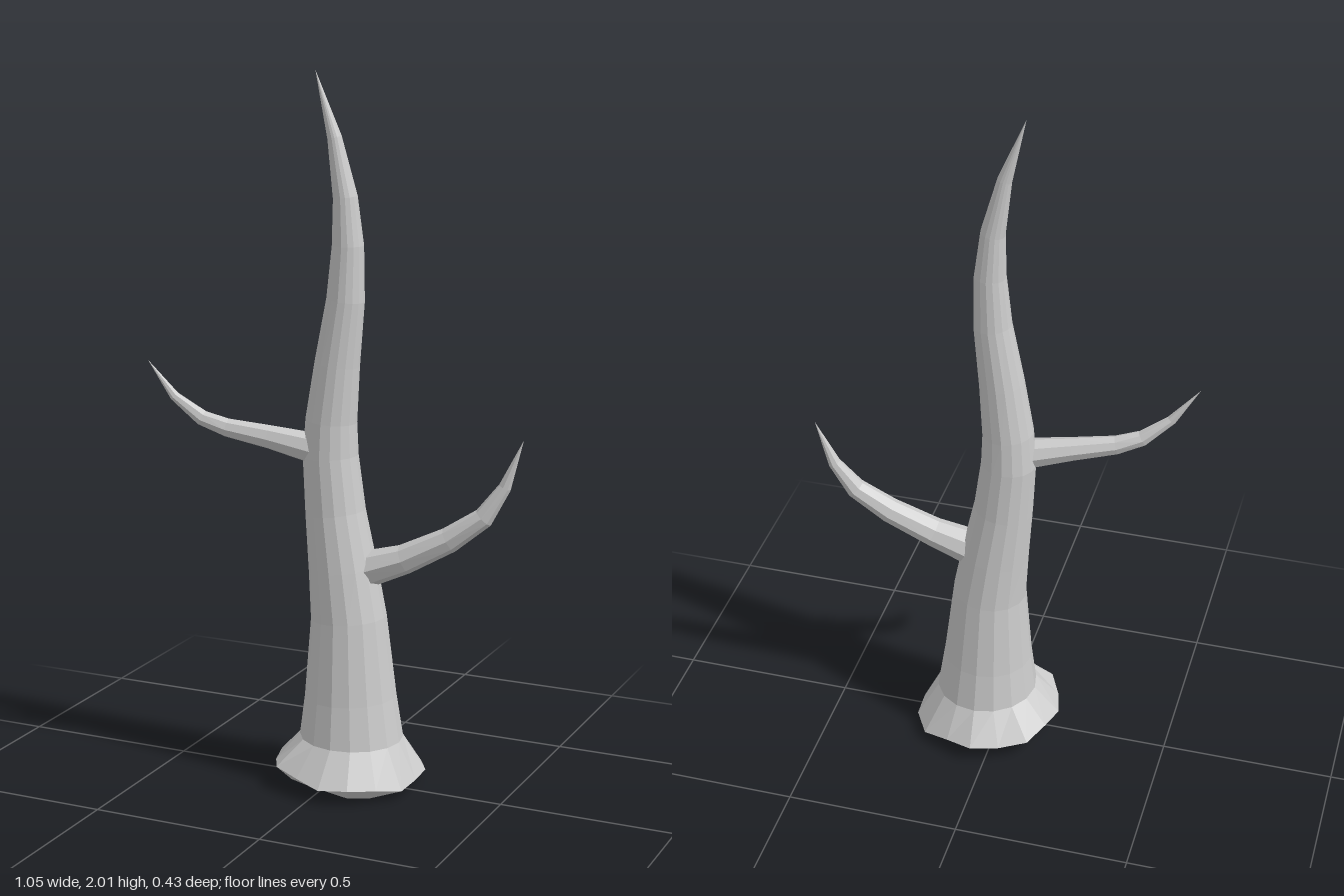
import * as THREE from 'three';

// Skin a tube over stations [x, y, z, radius], each ring square to the path.
// shape(ring, side) may return [radius factor, lift] to make a ring irregular.
function limb(name, stations, sides, { capStart = false, shape = () => [1, 0] } = {}) {
  const centres = stations.map(([x, y, z]) => new THREE.Vector3(x, y, z));
  const pos = [], index = [];
  stations.forEach(([, , , r], i) => {
    const t = centres[Math.min(i + 1, centres.length - 1)].clone()
      .sub(centres[Math.max(i - 1, 0)]).normalize();
    const w = new THREE.Vector3(0, 0, 1).addScaledVector(t, -t.z).normalize();
    const u = new THREE.Vector3().crossVectors(t, w);
    for (let j = 0; j < sides; j++) {
      const a = (j / sides) * Math.PI * 2;
      const [k, lift] = shape(i, j);
      const p = centres[i].clone()
        .addScaledVector(u, Math.cos(a) * r * k)
        .addScaledVector(w, Math.sin(a) * r * k);
      pos.push(p.x, p.y + lift, p.z);
    }
  });
  for (let i = 0; i < stations.length - 1; i++) {
    for (let j = 0; j < sides; j++) {
      const a = i * sides + j, b = i * sides + (j + 1) % sides;
      const c = a + sides, d = b + sides;
      index.push(a, c, b);
      if (stations[i + 1][3] > 0) index.push(b, c, d);
    }
  }
  if (capStart) for (let j = 1; j < sides - 1; j++) index.push(0, j, j + 1);
  const geo = new THREE.BufferGeometry();
  geo.setAttribute('position', new THREE.Float32BufferAttribute(pos, 3));
  geo.setIndex(index);
  geo.computeVertexNormals();
  const mesh = new THREE.Mesh(geo, new THREE.MeshStandardMaterial({
    color: 0xcccccc, flatShading: true, side: THREE.DoubleSide,
  }));
  mesh.name = name;
  return mesh;
}

export function createModel() {
  const tree = new THREE.Group();
  tree.name = 'bareTree';

  // Trunk: hollow, open underneath, with a ragged flared foot
  const rim = [0.98, 1.02, 1, 1.01, 1.02, 0.97, 1.05, 1, 1.02, 1, 1.06, 0.98, 1.04, 0.98, 1.06, 1.04];
  const foot = (i, j) => {
    if (i > 1) return [1, 0];
    const wave = Math.sin(j * 1.9) * 0.007;
    return i === 0 ? [rim[j], wave] : [rim[j], -wave];
  };
  tree.add(limb('trunk', [
    [0.035, 0.01, 0, 0.165],
    [0.038, 0.04, 0, 0.21],
    [0.045, 0.13, 0, 0.147],
    [0.042, 0.25, 0, 0.13],
    [0.036, 0.48, 0, 0.107],
    [0.018, 0.62, 0, 0.097],
    [-0.005, 0.78, 0, 0.085],
    [-0.02, 0.94, 0, 0.078],
    [-0.018, 1.04, 0, 0.072],
    [0, 1.2, 0, 0.063],
    [0.025, 1.38, 0, 0.053],
    [0.032, 1.53, 0, 0.044],
    [0.024, 1.66, 0, 0.034],
    [-0.008, 1.82, 0, 0.02],
    [-0.065, 2, 0, 0],
  ], 16, { shape: foot }));

  // Lower branch on the model's left
  tree.add(limb('leftBranch', [
    [0.095, 0.625, -0.005, 0.052],
    [0.2, 0.662, -0.013, 0.042],
    [0.325, 0.727, -0.03, 0.036],
    [0.42, 0.797, -0.045, 0.029],
    [0.475, 0.885, -0.06, 0.018],
    [0.525, 1.02, -0.067, 0],
  ], 8, { capStart: true }));

  // Upper branch on the model's right
  tree.add(limb('rightBranch', [
    [-0.06, 0.96, 0.022, 0.045],
    [-0.19, 0.985, 0.043, 0.034],
    [-0.31, 1.005, 0.066, 0.027],
    [-0.38, 1.03, 0.082, 0.023],
    [-0.455, 1.09, 0.103, 0.014],
    [-0.53, 1.19, 0.118, 0],
  ], 8, { capStart: true }));

  return tree;
}
